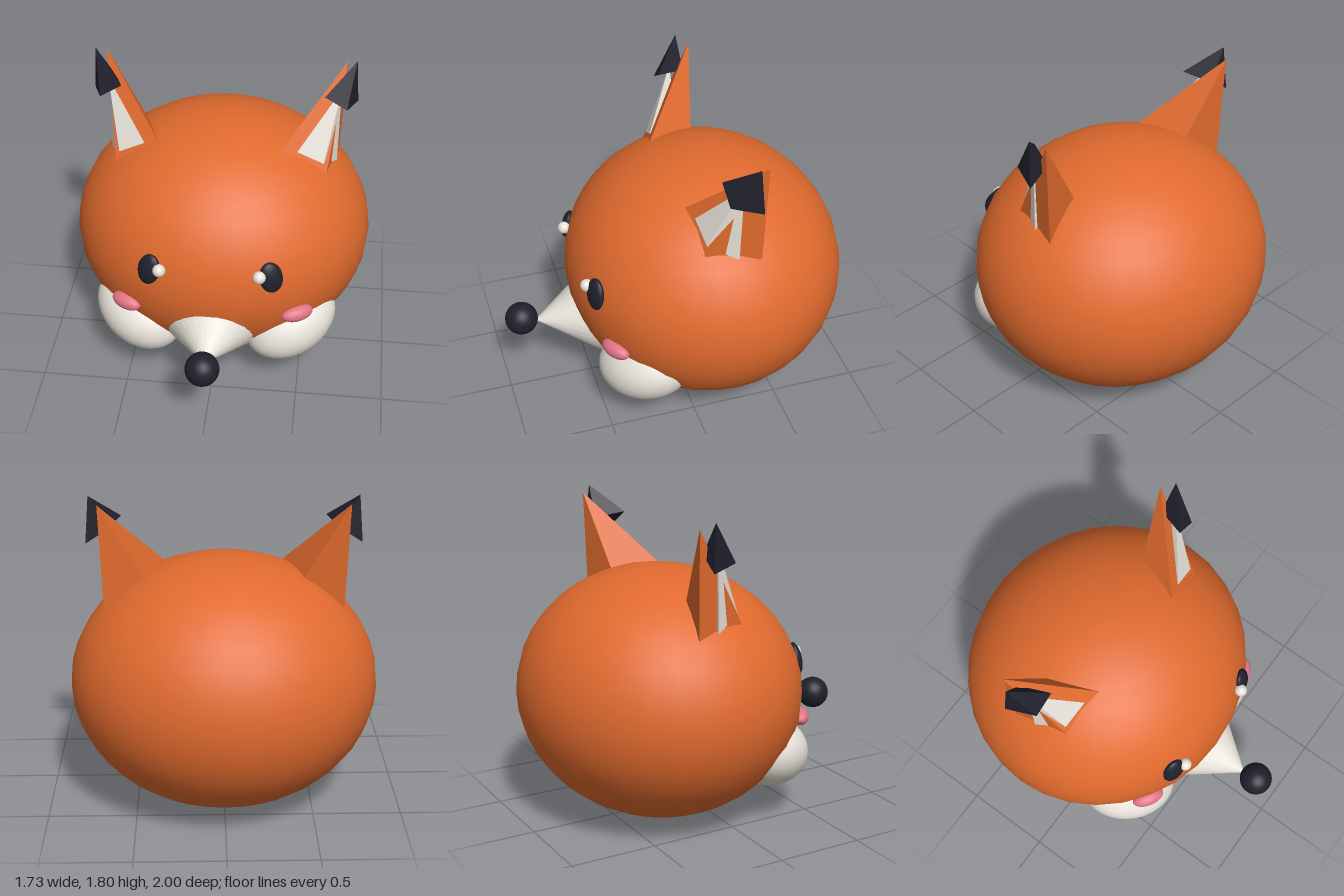
import * as THREE from 'three';

const material = (name, color) => {
  const m = new THREE.MeshStandardMaterial({ color });
  m.name = name;
  return m;
};

// Closed four-sided pyramid; corners run inner front, outer front, outer back, inner back
function pyramidGeometry(apex, corners, side) {
  const [a, b, c, d] = corners;
  const tris = [
    [apex, a, b], [apex, b, c], [apex, c, d], [apex, d, a],
    [a, c, b], [a, d, c],
  ];
  const positions = [];
  for (const [p, q, r] of tris) {
    const order = side > 0 ? [p, q, r] : [p, r, q]; // mirrored side flips the winding
    for (const [x, y, z] of order) positions.push(x * side, y, z);
  }
  const g = new THREE.BufferGeometry();
  g.setAttribute('position', new THREE.Float32BufferAttribute(positions, 3));
  g.computeVertexNormals();
  return g;
}

// Push the corners further away from the apex so the base is buried
const extend = (apex, corners, k) =>
  corners.map((c) => c.map((v, i) => apex[i] + (v - apex[i]) * k));

export function createModel() {
  const model = new THREE.Group();
  model.name = 'animalHead';

  const orange = material('orange fur', 0xe06a2e);
  const cream = material('cream fur', 0xe8e3da);
  const dark = material('dark', 0x20202c);
  const pink = material('blush pink', 0xe07486);

  const add = (name, geometry, mat) => {
    const mesh = new THREE.Mesh(geometry, mat);
    mesh.name = name;
    model.add(mesh);
    return mesh;
  };

  const ball = new THREE.SphereGeometry(1, 32, 20);
  const ellipsoid = (name, mat, pos, radii, rot = [0, 0, 0], side = 1) => {
    const mesh = add(name, ball, mat);
    mesh.position.set(pos[0] * side, pos[1], pos[2]);
    mesh.scale.set(...radii);
    const [rx, ry, rz] = rot.map(THREE.MathUtils.degToRad);
    mesh.rotation.set(rx, ry * side, rz * side, 'YXZ');
    return mesh;
  };

  // Head
  ellipsoid('head', orange, [0, 0.728, -0.195], [0.866, 0.722, 0.805]);

  // Snout and nose
  const snout = add('snout', new THREE.ConeGeometry(0.29, 0.44, 24).rotateX(Math.PI / 2), cream);
  snout.position.set(0, 0.487, 0.602);
  snout.scale.x = 1.17;
  ellipsoid('nose', dark, [0, 0.52, 0.9], [0.095, 0.095, 0.095]);

  // Ear outlines for the +x side
  const earApex = [0.68, 1.775, -0.325];
  const earCorners = [[0.34, 1.37, 0.01], [0.6, 1.23, -0.02], [0.66, 1.18, -0.315], [0.44, 1.347, -0.265]];
  const innerApex = [0.655, 1.66, -0.2];
  const innerCorners = [[0.43, 1.355, -0.012], [0.58, 1.275, -0.03], [0.652, 1.2, -0.19], [0.5, 1.3, -0.2]];
  const tipApex = [0.73, 1.81, -0.26];
  const tipCorners = [[0.565, 1.66, -0.11], [0.69, 1.58, -0.115], [0.75, 1.55, -0.28], [0.625, 1.63, -0.275]];

  for (const side of [1, -1]) {
    const label = side > 0 ? 'left' : 'right';

    // Face details
    ellipsoid(label + 'Cheek', cream, [0.44, 0.395, 0.28], [0.29, 0.2, 0.225], [0, 40, 18], side);
    ellipsoid(label + 'Blush', pink, [0.485, 0.588, 0.46], [0.095, 0.048, 0.05], [0, 30, 0], side);
    ellipsoid(label + 'Eye', dark, [0.337, 0.885, 0.527], [0.066, 0.093, 0.033], [-12, 22, 10], side);
    ellipsoid(label + 'EyeGlint', cream, [0.275, 0.907, 0.562], [0.036, 0.036, 0.036]
      , [0, 0, 0], side);

    // Ears
    add(label + 'Ear', pyramidGeometry(earApex, extend(earApex, earCorners, 1.25), side), orange);
    add(label + 'InnerEar', pyramidGeometry(innerApex, innerCorners, side), cream);
    add(label + 'EarTip', pyramidGeometry(tipApex, tipCorners, side), dark);
  }

  return model;
}
